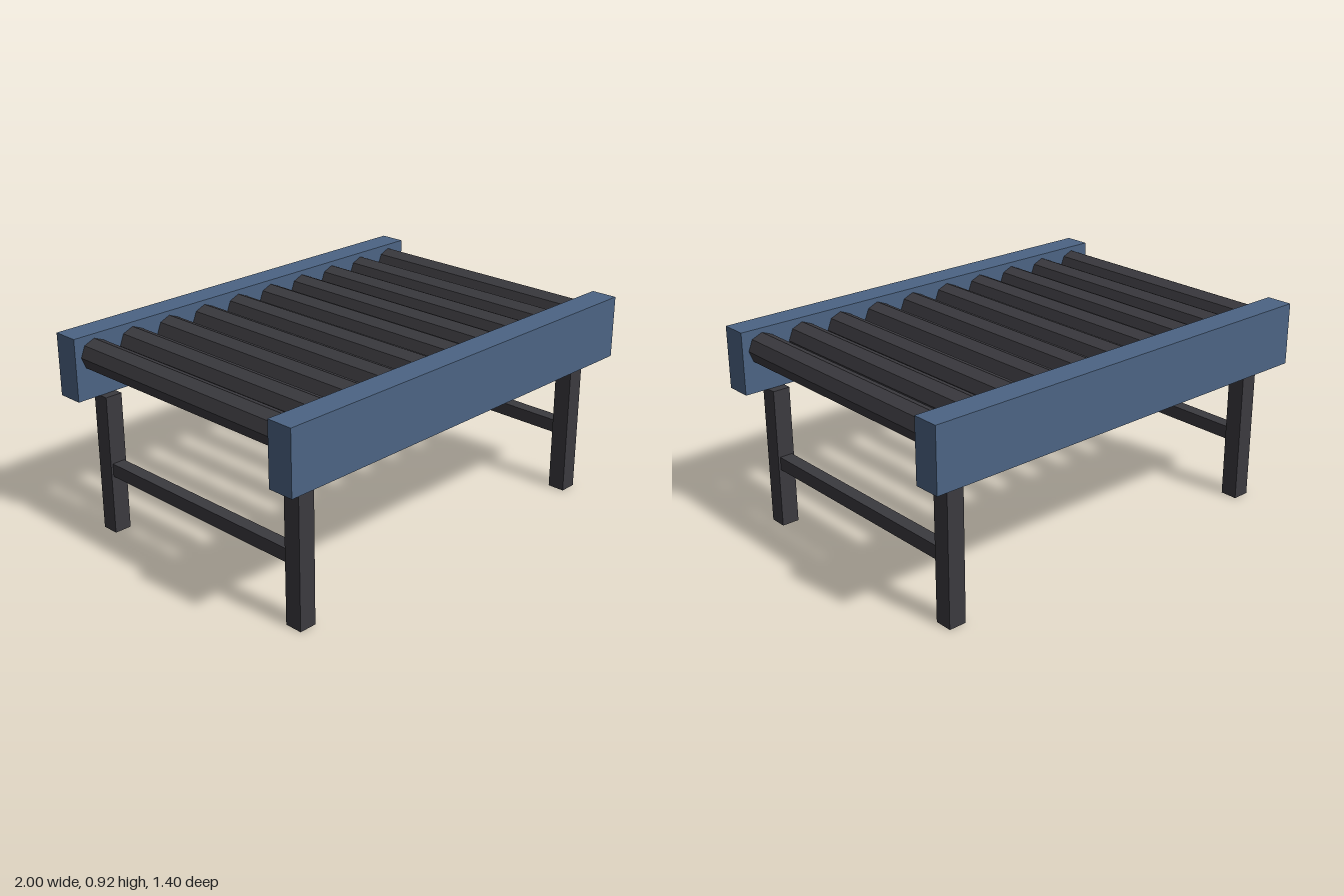
import * as THREE from 'three';

export function createModel() {
  const model = new THREE.Group();
  model.name = 'rollerConveyor';

  const blue = new THREE.MeshStandardMaterial({ color: 0x4c6484 });
  blue.name = 'blue paint';
  const dark = new THREE.MeshStandardMaterial({ color: 0x3b3a3f });
  dark.name = 'dark steel';

  const add = (name, geometry, material, x, y, z) => {
    const mesh = new THREE.Mesh(geometry, material);
    mesh.name = name;
    mesh.position.set(x, y, z);
    model.add(mesh);
  };

  // Side rails
  const rail = new THREE.BoxGeometry(2, 0.28, 0.12);
  add('frontRail', rail, blue, 0, 0.78, 0.64);
  add('backRail', rail, blue, 0, 0.78, -0.64);

  // Eight-sided rollers between the rails, with flat facets
  const roller = new THREE.CylinderGeometry(0.07, 0.07, 1.16, 8)
    .rotateX(Math.PI / 2)
    .toNonIndexed();
  roller.computeVertexNormals();
  for (let i = 0; i < 10; i++) {
    add(`roller${i + 1}`, roller, dark, -0.9 + i * 0.2, 0.83, 0);
  }

  // Legs, joined in pairs by a cross bar
  const leg = new THREE.BoxGeometry(0.08, 0.64, 0.08);
  const bar = new THREE.BoxGeometry(0.06, 0.06, 1.08);
  for (const [side, sx] of [['left', 1], ['right', -1]]) {
    add(`${side}FrontLeg`, leg, dark, sx * 0.85, 0.32, 0.58);
    add(`${side}BackLeg`, leg, dark, sx * 0.85, 0.32, -0.58);
    add(`${side}CrossBar`, bar, dark, sx * 0.85, 0.3, 0);
  }

  return model;
}
